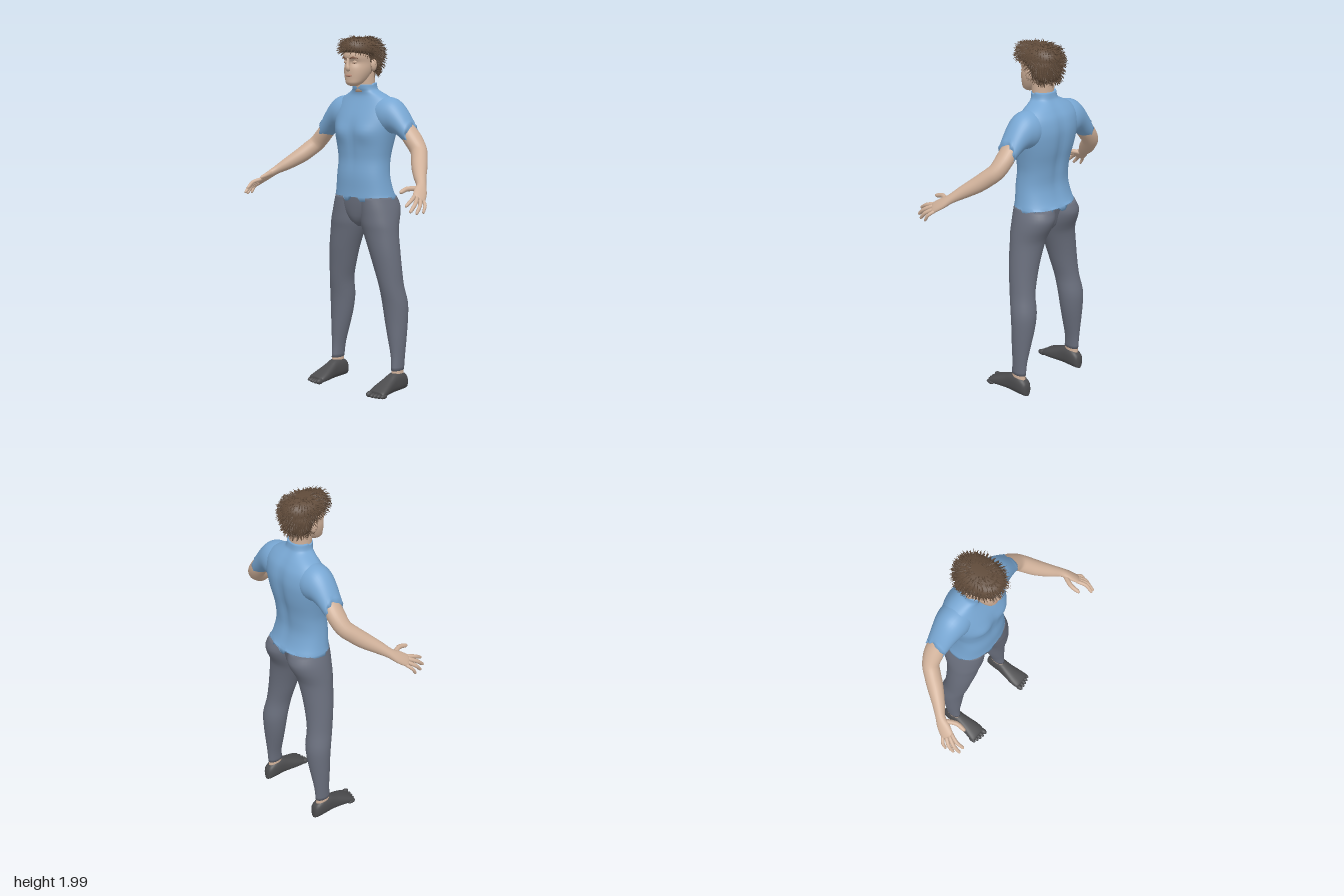
import * as THREE from 'three';
import { mergeGeometries } from 'three/addons/utils/BufferGeometryUtils.js';

const V = (x, y, z) => new THREE.Vector3(x, y, z);
const paint = (name, color) => Object.assign(new THREE.MeshStandardMaterial({ color }), { name });

// Skin a list of rings {c, a, b}: centre and two half-axes, with a x b along the path.
function loft(rings, { seg = 36, power = 2, rule } = {}) {
  const pos = [], idx = [], n = rings.length;
  const pow = (v) => Math.sign(v) * Math.abs(v) ** (2 / power);
  for (const { c, a, b } of rings)
    for (let j = 0; j < seg; j++) {
      const t = (j / seg) * Math.PI * 2;
      const p = c.clone().addScaledVector(a, pow(Math.cos(t))).addScaledVector(b, pow(Math.sin(t)));
      if (rule) rule(p);
      pos.push(p.x, p.y, p.z);
    }
  for (let i = 0; i < n - 1; i++)
    for (let j = 0; j < seg; j++) {
      const k = (j + 1) % seg, p = i * seg, q = p + seg;
      idx.push(p + j, p + k, q + j, p + k, q + k, q + j);
    }
  const first = rings[0].c, last = rings[n - 1].c, m = n * seg;
  pos.push(first.x, first.y, first.z, last.x, last.y, last.z);
  for (let j = 0; j < seg; j++) {
    const k = (j + 1) % seg, q = (n - 1) * seg;
    idx.push(m, k, j, m + 1, q + j, q + k);
  }
  const g = new THREE.BufferGeometry();
  g.setAttribute('position', new THREE.Float32BufferAttribute(pos, 3));
  g.setIndex(idx);
  g.computeVertexNormals();
  return g;
}

// Resample a table of numbers smoothly so few rows are enough.
function smooth(rows, steps = 3) {
  const out = [], at = (i) => rows[Math.max(0, Math.min(rows.length - 1, i))];
  for (let i = 0; i < rows.length - 1; i++)
    for (let s = 0; s < steps; s++) {
      const t = s / steps;
      out.push(at(i).map((v, k) => {
        const d0 = (at(i + 1)[k] - at(i - 1)[k]) / 2, d1 = (at(i + 2)[k] - v) / 2, e = at(i + 1)[k];
        return v + d0 * t + (3 * (e - v) - 2 * d0 - d1) * t * t + (2 * (v - e) + d0 + d1) * t ** 3;
      }));
    }
  out.push(rows[rows.length - 1]);
  return out;
}

// Level rings: [y, xInner, xOuter, zFront, zBack]
const stack = (rows, opt) => loft(smooth(rows).map(([y, x0, x1, zf, zb]) => ({
  c: V((x0 + x1) / 2, y, (zf + zb) / 2), a: V((x1 - x0) / 2, 0, 0), b: V(0, 0, -(zf - zb) / 2) })), opt);
// Level rings centred on x = 0: [y, halfWidth, zFront, zBack]
const column = (rows, opt) => stack(rows.map(([y, w, zf, zb]) => [y, -w, w, zf, zb]), opt);

// Tube through points [x, y, z, ra, rb]; ra lies along the "side" direction.
function limb(rows, side, opt) {
  const r = smooth(rows), P = r.map((q) => V(q[0], q[1], q[2]));
  return loft(r.map((q, i) => {
    const t = P[Math.min(i + 1, P.length - 1)].clone().sub(P[Math.max(i - 1, 0)]).normalize();
    const a = side.clone().addScaledVector(t, -side.dot(t)).normalize();
    return { c: P[i], a: a.clone().multiplyScalar(q[3]), b: t.cross(a).multiplyScalar(q[4]) };
  }), opt);
}

function ball(x, y, z, rx, ry, rz) {
  return new THREE.SphereGeometry(1, 16, 12).scale(rx, ry, rz).translate(x, y, z);
}

function mirrored(geo) {
  const g = geo.clone().scale(-1, 1, 1), a = g.index.array;
  for (let i = 0; i < a.length; i += 3) [a[i], a[i + 1]] = [a[i + 1], a[i]];
  g.computeVertexNormals();
  return g;
}

export function createModel() {
  const model = new THREE.Group();
  const skin = paint('skin', 0xd0b19a), shirt = paint('shirt blue', 0x78a7d3);
  const trousers = paint('trouser grey', 0x6a6f7d), shoe = paint('shoe grey', 0x4c4c4e);
  const hair = paint('hair brown', 0x604b3a), brow = paint('brow brown', 0x835a45);
  const lip = paint('lip', 0xb98874);
  const add = (name, geo, mat) => {
    const m = new THREE.Mesh(geo, mat);
    m.name = name;
    model.add(m);
  };
  const pair = (name, geo, mat) => {
    add(name + 'Left', geo, mat);
    add(name + 'Right', mirrored(geo), mat);
  };
  const bump = (u, v, w, h) => Math.exp(-((u / w) ** 2) - (v / h) ** 2);

  // Shirt: chest, spine groove, uneven hem and collar
  add('shirtBody', column([
    [1.09, .186, .014, -.249], [1.14, .174, .012, -.224], [1.22, .162, .013, -.206], [1.3, .158, .005, -.212],
    [1.36, .166, .008, -.222], [1.42, .178, .012, -.237], [1.48, .19, .01, -.247], [1.54, .196, -.004, -.25],
    [1.6, .19, -.03, -.238], [1.64, .165, -.048, -.215], [1.665, .125, -.055, -.196], [1.685, .085, -.052, -.18],
    [1.7, .071, -.046, -.172], [1.73, .067, -.044, -.166],
  ], { seg: 64, power: 2.3, rule: (p) => {
    if (p.z > -.08) p.z += .016 * bump(Math.abs(p.x) - .085, p.y - 1.46, .06, .05) - .006 * bump(p.x, p.y - 1.4, .02, .12);
    else p.z += .014 * bump(p.x, p.y - 1.42, .03, .22);
    if (p.y < 1.1) p.y += .012 * Math.sign(Math.sin(p.x * 55 + p.z * 30));
    if (p.y > 1.7 && p.z > -.1) p.y -= .3 * (p.y - 1.7);
  } }), shirt);

  // Sleeves: upright rings marching outwards [x, top, bottom, zCentre, rz]
  pair('sleeve', loft(smooth([
    [.08, 1.655, 1.47, -.13, .085], [.15, 1.656, 1.45, -.13, .092], [.2, 1.645, 1.455, -.13, .084],
    [.24, 1.615, 1.44, -.13, .074], [.28, 1.565, 1.412, -.131, .065], [.312, 1.515, 1.393, -.132, .059],
  ]).map(([x, top, low, z, rz]) => ({
    c: V(x, (top + low) / 2, z), a: V(0, 0, rz), b: V(0, -(top - low) / 2, 0) })),
  { rule: (p) => { if (p.x > .311) p.x += .006 * Math.sin(p.y * 120 + p.z * 90); } }), shirt);

  // Bare arms and palms
  const across = V(.033, -.025, -.035).normalize();
  pair('arm', limb([
    [.27, 1.485, -.131, .052, .044], [.32, 1.43, -.132, .054, .046], [.368, 1.373, -.12, .046, .046],
    [.4, 1.335, -.085, .044, .046], [.435, 1.295, -.04, .043, .043], [.485, 1.25, .02, .034, .034],
    [.528, 1.215, .065, .027, .023], [.553, 1.186, .105, .036, .019], [.574, 1.158, .146, .036, .014],
    [.579, 1.152, .156, .028, .008],
  ], across, { seg: 28 }), skin);

  // Fingers: base and tip
  const digits = {
    thumb: [[.53, 1.2, .095], [.5, 1.19, .213], .013], indexFinger: [[.556, 1.17, .16], [.573, 1.127, .256], .0105],
    middleFinger: [[.57, 1.161, .157], [.598, 1.098, .25], .011], ringFinger: [[.582, 1.15, .145], [.614, 1.087, .218], .0105],
    littleFinger: [[.589, 1.145, .127], [.624, 1.088, .172], .009],
  };
  for (const [name, [s, e, r]] of Object.entries(digits)) {
    const mid = (k, i) => s[i] + (e[i] - s[i]) * k;
    const lift = name === 'thumb' ? -.012 : .01;
    pair(name, limb([
      [...s, r, r], [mid(.5, 0) + lift, mid(.5, 1) + .007, mid(.5, 2), r, r],
      [mid(.9, 0), mid(.9, 1), mid(.9, 2), r * .8, r * .8], [...e, r * .35, r * .35],
    ], across, { seg: 12 }), skin);
  }

  // Trousers: two legs and a bridging pelvis
  pair('trouserLeg', stack([
    [.12, .195, .251, -.085, -.18], [.2, .185, .256, -.09, -.185], [.3, .16, .263, -.085, -.198],
    [.4, .136, .267, -.08, -.211], [.5, .121, .267, -.07, -.216], [.6, .114, .252, -.05, -.197],
    [.7, .086, .245, -.035, -.19], [.8, .055, .236, -.02, -.192], [.9, .018, .224, -.01, -.2],
    [.95, .002, .218, -.002, -.217], [1, -.006, .21, 0, -.242], [1.05, -.008, .198, .002, -.256], [1.1, -.01, .18, .002, -.238],
  ]), trousers);
  add('pelvis', column([
    [.93, .015, -.05, -.14], [.97, .08, -.012, -.185], [1.05, .165, .004, -.21], [1.11, .177, .008, -.225],
  ]), trousers);

  // Ankles, shoes and toes
  pair('ankle', stack([[.07, .194, .25, -.08, -.18], [.1, .197, .249, -.086, -.178], [.14, .198, .247, -.09, -.175]]), skin);
  pair('shoe', loft(smooth([
    [-.202, .222, .012, .05], [-.19, .222, .031, .085], [-.145, .222, .038, .11], [-.09, .222, .038, .108],
    [-.045, .221, .043, .088], [.01, .222, .052, .064], [.05, .225, .054, .045], [.066, .226, .049, .034],
  ]).map(([z, x, w, h]) => ({ c: V(x, h / 2, z), a: V(w, 0, 0), b: V(0, h / 2, 0) })), { power: 2.5 }), shoe);
  for (let i = 0; i < 5; i++) {
    const r = i ? .0115 : .0155;
    pair('toe' + (i + 1), ball(.186 + i * .0205 + (i ? .004 : 0), r + .002, .071 - .002 * i * i * .6, r, r * 1.1, .026), shoe);
  }

  // Neck, head and ears
  add('neck', column([[1.68, .062, -.05, -.162], [1.74, .06, -.04, -.16], [1.82, .062, -.04, -.17]]), skin);
  add('head', column([
    [1.716, .026, .014, -.03], [1.73, .043, .029, -.06], [1.75, .055, .031, -.09], [1.78, .066, .033, -.12],
    [1.81, .072, .033, -.15], [1.842, .074, .029, -.18], [1.87, .077, .041, -.19], [1.9, .077, .038, -.195],
    [1.94, .065, .02, -.18], [1.965, .03, -.03, -.13],
  ], { seg: 48, power: 2.2, rule: (p) => {
    if (p.z > -.02) p.z -= .008 * bump(Math.abs(p.x) - .03, p.y - 1.845, .018, .014);
  } }), skin);
  pair('ear', ball(.084, 1.83, -.08, .016, .034, .022), skin);

  // Face
  add('nose', limb([[0, 1.865, .034, .007, .008], [0, 1.835, .039, .009, .01], [0, 1.811, .042, .015, .011],
    [0, 1.8, .033, .011, .008]], V(1, 0, 0), { seg: 16 }), skin);
  pair('eyelid', ball(.03, 1.845, .017, .015, .009, .007), skin);
  pair('eyeLine', limb([[.017, 1.841, .0235, .001, .002], [.03, 1.839, .0245, .001, .002], [.043, 1.842, .019, .001, .002]],
    V(0, 1, 0), { seg: 8 }), brow);
  pair('eyebrow', limb([[.012, 1.864, .036, .003, .003], [.032, 1.871, .034, .005, .004], [.055, 1.865, .019, .002, .003]],
    V(0, 1, 0), { seg: 10 }), brow);
  add('lips', ball(0, 1.772, .031, .023, .007, .006), lip);

  // Hair: a cap covered in short tapering locks
  const cap = column([
    [1.785, .06, -.1, -.176], [1.81, .085, -.05, -.194], [1.85, .096, -.032, -.203], [1.88, .1, -.015, -.208],
    [1.9, .101, .046, -.21], [1.92, .1, .058, -.21], [1.945, .091, .054, -.199], [1.965, .07, .038, -.175], [1.979, .03, -.03, -.13],
  ], { seg: 48, power: 2.1 });
  add('hairCap', cap, hair);
  let seed = 7;
  const rnd = () => (seed = (seed * 16807) % 2147483647) / 2147483647;
  const P = cap.attributes.position, N = cap.attributes.normal, locks = [];
  for (let i = 0; i < 1300; i++) {
    const k = Math.floor(rnd() * (P.count - 2));
    const p = V().fromBufferAttribute(P, k), n = V().fromBufferAttribute(N, k);
    if (p.z > -.06 && p.y < 1.89 && Math.abs(p.x) < .07) continue;
    const flow = V(p.x * 6, -.15 - (1.97 - p.y) * 5, (p.z + .08) * 6).normalize();
    const d = flow.addScaledVector(n, .35 + rnd() * .4).add(V(rnd() - .5, rnd() - .5, rnd() - .5).multiplyScalar(.7)).normalize();
    const len = .018 + rnd() * .018;
    locks.push(new THREE.ConeGeometry(.0035, len, 4, 1, true).translate(0, len / 2 - .004, 0)
      .applyQuaternion(new THREE.Quaternion().setFromUnitVectors(V(0, 1, 0), d)).translate(p.x, p.y, p.z));
  }
  add('hairLocks', mergeGeometries(locks), hair);
  return model;
}
